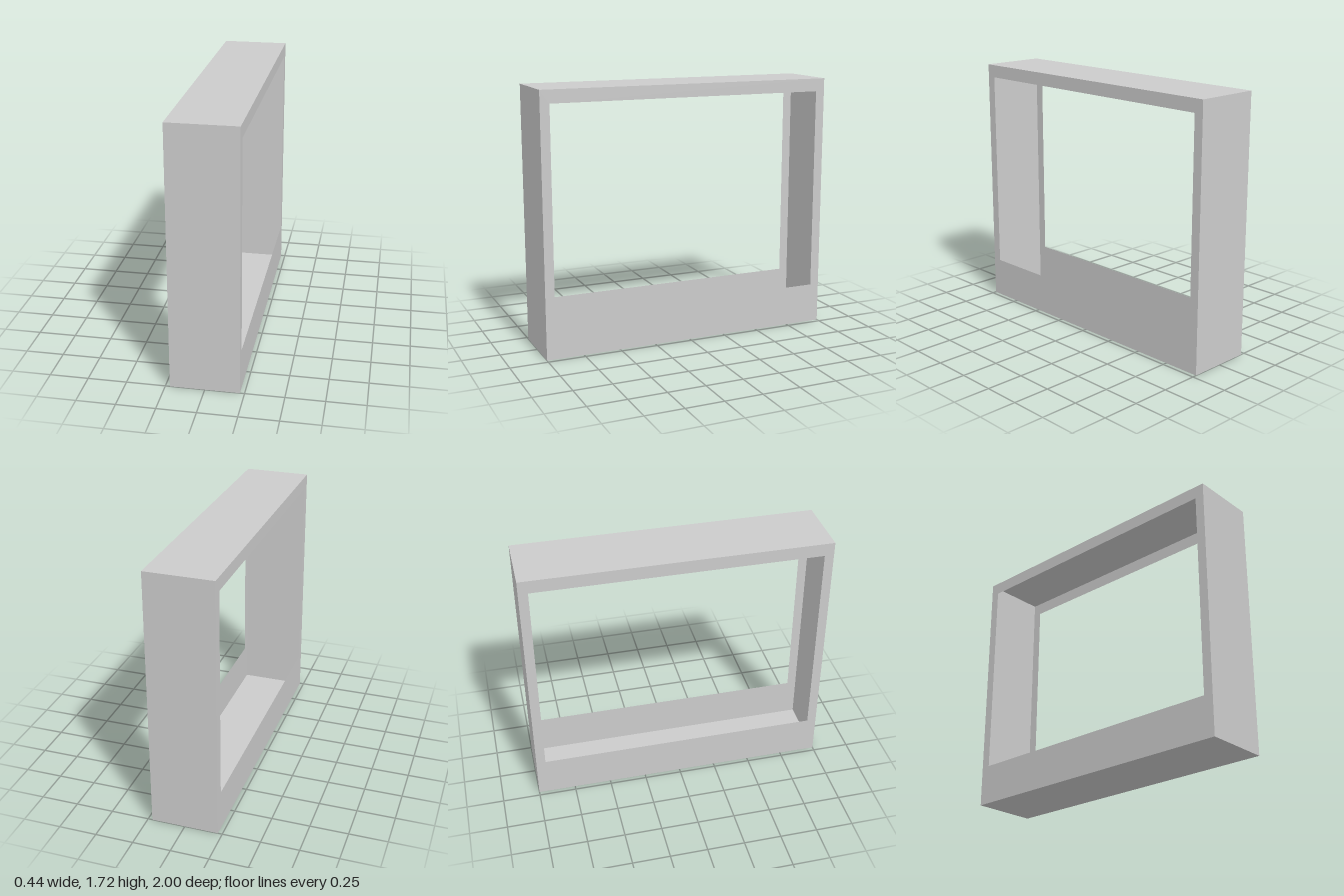
import * as THREE from 'three';

const W = 0.442, H = 1.722, D = 2; // overall size in x, y, z
const OPEN = { z: 0.938, bottom: 0.27, top: 1.636 }; // opening in each face

export function createModel() {
  const group = new THREE.Group();
  const material = new THREE.MeshStandardMaterial({
    color: 0xcccccc, flatShading: true, side: THREE.DoubleSide,
  });

  const add = (name, geometry, position, rotation) => {
    const mesh = new THREE.Mesh(geometry, material);
    mesh.name = name;
    mesh.position.set(...position);
    mesh.rotation.set(...rotation);
    group.add(mesh);
  };

  const rectangle = (PathType, halfWidth, bottom, top) => new PathType([
    new THREE.Vector2(-halfWidth, bottom), new THREE.Vector2(halfWidth, bottom),
    new THREE.Vector2(halfWidth, top), new THREE.Vector2(-halfWidth, top),
  ]);

  // Thin sheet faces with a large rectangular opening, on both sides
  const face = rectangle(THREE.Shape, D / 2, 0, H);
  face.holes.push(rectangle(THREE.Path, OPEN.z, OPEN.bottom, OPEN.top));
  const faceGeometry = new THREE.ShapeGeometry(face);
  add('leftFrame', faceGeometry, [W / 2, 0, 0], [0, Math.PI / 2, 0]);
  add('rightFrame', faceGeometry, [-W / 2, 0, 0], [0, -Math.PI / 2, 0]);

  // Thin sheet walls that close the hollow casing around its rim
  const endWall = new THREE.PlaneGeometry(W, H);
  add('frontWall', endWall, [0, H / 2, D / 2], [0, 0, 0]);
  add('backWall', endWall, [0, H / 2, -D / 2], [0, Math.PI, 0]);
  const slab = new THREE.PlaneGeometry(W, D);
  add('topPanel', slab, [0, H, 0], [-Math.PI / 2, 0, 0]);
  add('bottomPanel', slab, [0, 0, 0], [Math.PI / 2, 0, 0]);

  return group;
}
